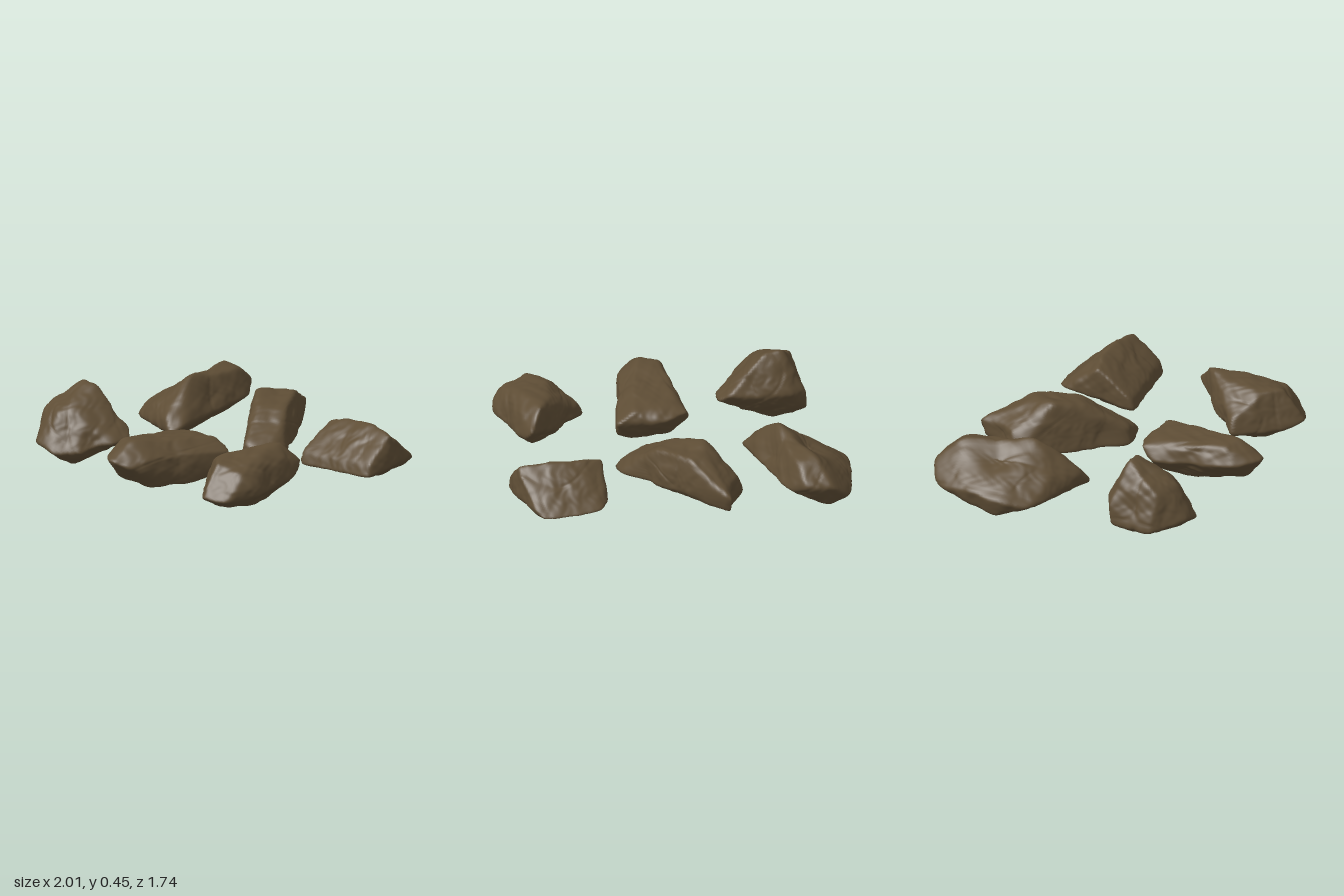
import * as THREE from 'three';
import { mergeVertices } from 'three/addons/utils/BufferGeometryUtils.js';
import { ConvexGeometry } from 'three/addons/geometries/ConvexGeometry.js';

// Each rock: corner points [x, y, z], plus dents [x, y, z, radius, depth]
const longBoulder = {
  name: 'longBoulder',
  corners: [
    [-0.92, 0.1, -0.8], [-0.82, 0.2, -0.87], [-0.66, 0.22, -0.86], [-0.57, 0.16, -0.76],
    [-0.49, 0.15, -0.42], [-0.44, 0.14, -0.1], [-0.46, 0.08, -0.03], [-0.53, 0.17, -0.04],
    [-0.73, 0.1, -0.11], [-0.93, 0.08, -0.2], [-1.01, 0.12, -0.37], [-0.98, 0.01, -0.4],
    [-0.99, 0.14, -0.58], [-0.6, 0.37, -0.3], [-0.59, 0.34, -0.5], [-0.73, 0.36, -0.72],
    [-0.62, 0.32, -0.74], [-0.84, 0.22, -0.4], [-0.74, 0.2, -0.16], [-0.7, 0, -0.45],
    [-0.6, 0.04, -0.3], [-0.8, 0.05, -0.8],
  ],
  dents: [[-0.75, 0.3, -0.52, 0.14, 0.05], [-0.51, 0.25, -0.4, 0.08, 0.02]],
};
const slantedSlab = {
  name: 'slantedSlab',
  corners: [
    [-0.2, 0.2, -0.87], [-0.2, 0.1, -0.84], [-0.13, 0.22, -0.79], [0.02, 0.14, -0.62],
    [0.19, 0.13, -0.38], [0.32, 0.09, -0.2], [0.32, 0.07, -0.08], [0.1, 0.06, -0.04],
    [0.12, 0.16, -0.06], [-0.27, 0.07, -0.46], [-0.35, 0.08, -0.55], [-0.3, 0.2, -0.63],
    [-0.14, 0.37, -0.4], [-0.1, 0.36, -0.52], [0.0, 0.34, -0.59], [0.14, 0.31, -0.38],
    [0.02, 0.32, -0.27], [0.22, 0.22, -0.26], [-0.1, 0.05, -0.5], [0.1, 0.04, -0.2],
    [-0.24, 0.06, -0.72],
  ],
  dents: [[-0.28, 0.15, -0.74, 0.1, 0.045], [0.2, 0.13, -0.33, 0.08, 0.03], [0.03, 0.12, -0.14, 0.08, 0.03]],
};
const wedgeStone = {
  name: 'wedgeStone',
  corners: [
    [0.47, 0.09, -0.18], [0.99, 0.11, -0.23], [0.98, 0.18, -0.25], [0.47, 0.17, -0.21],
    [0.47, 0.32, -0.41], [0.6, 0.34, -0.45], [0.8, 0.35, -0.45], [0.98, 0.33, -0.41],
    [1.0, 0.14, -0.4], [0.48, 0.14, -0.6], [0.54, 0.13, -0.69], [0.68, 0.12, -0.71],
    [0.88, 0.12, -0.69], [0.92, 0.15, -0.64], [0.6, 0.05, -0.45], [0.85, 0.05, -0.45],
  ],
  dents: [],
};
const peakedRock = {
  name: 'peakedRock',
  corners: [
    [-0.92, 0.2, 0.3], [-0.92, 0.08, 0.32], [-0.82, 0.22, 0.25], [-0.62, 0.2, 0.28],
    [-0.46, 0.22, 0.31], [-0.4, 0.17, 0.36], [-0.4, 0.15, 0.5], [-0.5, 0.1, 0.65],
    [-0.66, 0.1, 0.75], [-0.79, 0.14, 0.74], [-0.95, 0.08, 0.58], [-0.79, 0.45, 0.38],
    [-0.68, 0.45, 0.37], [-0.88, 0.31, 0.59], [-0.7, 0.33, 0.64], [-0.62, 0.32, 0.58],
    [-0.58, 0.32, 0.4], [-0.74, 0, 0.4], [-0.66, 0, 0.57], [-0.84, 0.02, 0.45],
  ],
  dents: [[-0.45, 0.15, 0.59, 0.09, 0.045], [-0.92, 0.2, 0.44, 0.08, 0.025], [-0.57, 0.18, 0.73, 0.07, 0.03], [-0.55, 0.28, 0.28, 0.08, 0.03]],
};
const taperedBoulder = {
  name: 'taperedBoulder',
  corners: [
    [-0.2, 0.15, 0.25], [-0.17, 0.23, 0.16], [-0.02, 0.2, 0.12], [0.25, 0.19, 0.18],
    [0.24, 0.1, 0.22], [0.2, 0.14, 0.42], [0.13, 0.13, 0.7], [0.12, 0.22, 0.71],
    [0.08, 0.18, 0.82], [0.0, 0.22, 0.88], [-0.08, 0.22, 0.85], [-0.17, 0.2, 0.74],
    [-0.18, 0.17, 0.45], [-0.12, 0.26, 0.22], [0.14, 0.26, 0.18], [0.08, 0.29, 0.48],
    [-0.13, 0.28, 0.45], [-0.13, 0.3, 0.68], [0.0, 0.31, 0.72], [-0.08, 0.05, 0.25],
    [0.16, 0.05, 0.25], [0.18, 0.04, 0.42], [0.1, 0.03, 0.64], [-0.08, 0.05, 0.5],
    [-0.03, 0.09, 0.78],
  ],
  dents: [[-0.2, 0.18, 0.45, 0.12, 0.015], [0.2, 0.2, 0.5, 0.12, 0.015]],
};
const spikedRock = {
  name: 'spikedRock',
  corners: [
    [0.77, 0.24, 0.1], [0.8, 0.18, 0.15], [0.83, 0.16, 0.28], [0.9, 0.14, 0.56],
    [0.9, 0.2, 0.6], [0.85, 0.27, 0.63], [0.82, 0.12, 0.76], [0.7, 0.13, 0.8],
    [0.6, 0.1, 0.73], [0.5, 0.09, 0.6], [0.37, 0.11, 0.48], [0.39, 0.18, 0.48],
    [0.58, 0.14, 0.28], [0.7, 0.36, 0.2], [0.6, 0.34, 0.36], [0.5, 0.27, 0.44],
    [0.59, 0.32, 0.6], [0.67, 0.32, 0.68], [0.78, 0.32, 0.52], [0.79, 0.31, 0.3],
    [0.62, 0.03, 0.48], [0.78, 0.05, 0.55], [0.64, 0.03, 0.62], [0.73, 0.07, 0.27],
  ],
  dents: [[0.46, 0.14, 0.38, 0.08, 0.02], [0.66, 0.14, 0.18, 0.09, 0.02], [0.87, 0.2, 0.4, 0.1, 0.015]],
};

// Distinct face planes of the convex hull, relative to the centre
function hullPlanes(points, centre) {
  const pos = new ConvexGeometry(points).attributes.position;
  const planes = [];
  const tri = new THREE.Triangle();
  for (let i = 0; i < pos.count; i += 3) {
    tri.setFromAttributeAndIndices(pos, i, i + 1, i + 2);
    if (tri.getArea() < 1e-6) continue;
    const n = tri.getNormal(new THREE.Vector3());
    const d = n.dot(tri.a) - n.dot(centre);
    if (!planes.some((p) => p.n.dot(n) > 0.995)) planes.push({ n, d });
  }
  return planes;
}

// Uneven weathering: broad bumps, small lumps and thin cracks
function weather(p, seed) {
  const wave = (f, s) =>
    Math.sin(p.x * f + s + 1.7 * Math.sin(p.y * f * 0.8 + s)) *
    Math.sin(p.z * f * 0.9 + 2 * s + 1.3 * Math.sin(p.x * f * 0.7 - s));
  const crack = Math.max(0, 1 - 9 * Math.abs(wave(9, seed + 4)));
  return 0.006 * wave(16, seed) + 0.004 * wave(36, seed + 2) + 0.0015 * wave(80, seed + 5) - 0.004 * crack;
}

// Wrap a sphere onto the hull with softened edges, then dent and weather it
function rockGeometry({ corners, dents }, seed) {
  const points = corners.map((c) => new THREE.Vector3(...c));
  const centre = points.reduce((s, p) => s.add(p), new THREE.Vector3()).divideScalar(points.length);
  const half = new THREE.Box3().setFromPoints(points).getSize(new THREE.Vector3()).multiplyScalar(0.5);
  const planes = hullPlanes(points, centre);
  const sphere = new THREE.IcosahedronGeometry(1, 24);
  sphere.deleteAttribute('normal');
  sphere.deleteAttribute('uv');
  const geo = mergeVertices(sphere);
  const pos = geo.attributes.position;
  const dir = new THREE.Vector3();
  const p = new THREE.Vector3();
  const hollow = new THREE.Vector3();
  for (let i = 0; i < pos.count; i++) {
    dir.fromBufferAttribute(pos, i).multiply(half);
    let sum = 0;
    for (const { n, d } of planes) sum += Math.pow(Math.max(0, n.dot(dir) / d), 36);
    p.copy(dir).multiplyScalar(1.02 * Math.pow(sum, -1 / 36)).add(centre);
    let push = weather(p, seed);
    for (const [x, y, z, radius, depth] of dents) {
      const q = p.distanceTo(hollow.set(x, y, z)) / radius;
      push -= depth * Math.exp(-q * q);
    }
    p.addScaledVector(dir.normalize(), push);
    pos.setXYZ(i, p.x, Math.max(0, p.y), p.z);
  }
  geo.computeVertexNormals();
  return geo;
}

export function createModel() {
  const group = new THREE.Group();
  group.name = 'rocks';
  const stone = new THREE.MeshStandardMaterial({ color: 0x5e4d35 });
  stone.name = 'brownStone';
  const rocks = [longBoulder, slantedSlab, wedgeStone, peakedRock, taperedBoulder, spikedRock];
  rocks.forEach((rock, i) => {
    const mesh = new THREE.Mesh(rockGeometry(rock, 1.3 + i * 2.1), stone);
    mesh.name = rock.name;
    group.add(mesh);
  });
  return group;
}
